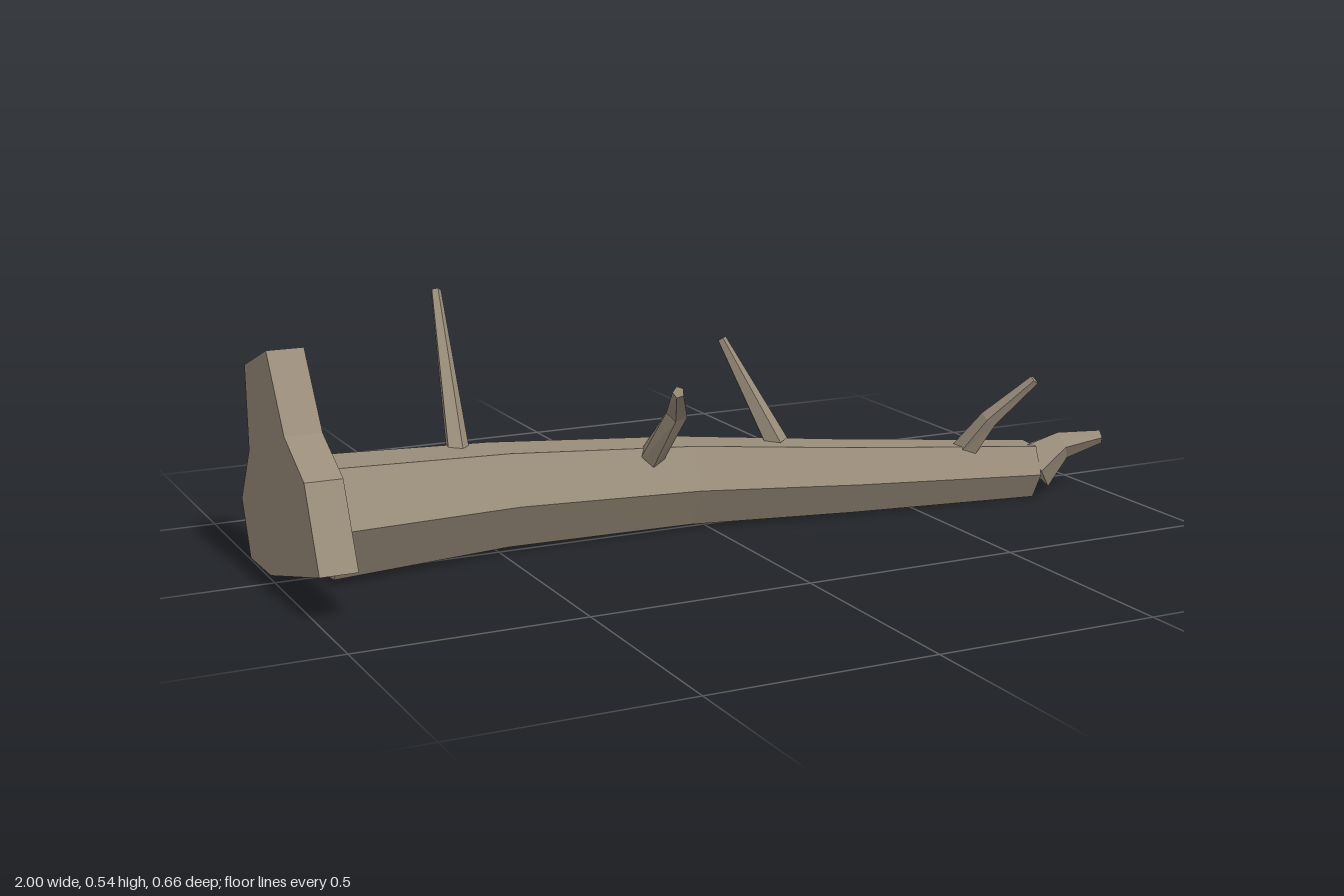
import * as THREE from 'three';

const bark = new THREE.MeshStandardMaterial({ color: 0x998c7a, flatShading: true });

// Closed tapering limb: one polygon ring per [x, y, z, radius] station
function limb(name, stations, sides) {
  const pts = stations.map(([x, y, z]) => new THREE.Vector3(x, y, z));
  const last = pts.length - 1;
  const pos = [], idx = [];
  stations.forEach(([, , , r], i) => {
    const t = new THREE.Vector3();
    if (i > 0) t.add(pts[i].clone().sub(pts[i - 1]).normalize());
    if (i < last) t.add(pts[i + 1].clone().sub(pts[i]).normalize());
    t.normalize();
    const side = new THREE.Vector3().crossVectors(t, new THREE.Vector3(0, 1, 0)).normalize();
    const up = new THREE.Vector3().crossVectors(side, t);
    for (let k = 0; k < sides; k++) {
      const a = (k / sides) * Math.PI * 2;
      const p = pts[i].clone().addScaledVector(side, r * Math.cos(a)).addScaledVector(up, r * Math.sin(a));
      pos.push(p.x, p.y, p.z);
    }
  });
  // Side walls
  for (let i = 0; i < last; i++) {
    for (let k = 0; k < sides; k++) {
      const a = i * sides + k, b = i * sides + (k + 1) % sides;
      idx.push(a, a + sides, b, b, a + sides, b + sides);
    }
  }
  // End caps
  for (let k = 1; k < sides - 1; k++) {
    idx.push(0, k, k + 1);
    idx.push(last * sides, last * sides + k + 1, last * sides + k);
  }
  const geo = new THREE.BufferGeometry();
  geo.setAttribute('position', new THREE.Float32BufferAttribute(pos, 3));
  geo.setIndex(idx);
  const flat = geo.toNonIndexed();
  flat.computeVertexNormals();
  const mesh = new THREE.Mesh(flat, bark);
  mesh.name = name;
  return mesh;
}

// Jagged root plate: outline in (z, y), extruded along x
function rootPlate() {
  const outline = [
    [0.33, 0.103], [0.25, 0.275], [0.12, 0.34], [0.01, 0.497], [-0.165, 0.435],
    [-0.16, 0.25], [-0.24, 0.125], [-0.187, 0.004], [-0.03, 0.008],
  ];
  const shape = new THREE.Shape(outline.map(([z, y]) => new THREE.Vector2(-z, y)));
  const geo = new THREE.ExtrudeGeometry(shape, { depth: 0.08, bevelEnabled: false });
  geo.rotateY(Math.PI / 2);
  geo.translate(-1, 0, 0);
  const mesh = new THREE.Mesh(geo, bark);
  mesh.name = 'rootPlate';
  return mesh;
}

export function createModel() {
  const group = new THREE.Group();
  group.name = 'fallenLog';

  group.add(rootPlate());

  // Hexagonal, gently curved trunk
  group.add(limb('trunk', [
    [-0.9, 0.131, 0.005, 0.137],
    [-0.48, 0.117, -0.05, 0.121],
    [-0.03, 0.1, -0.036, 0.105],
    [0.36, 0.082, 0.036, 0.089],
    [0.82, 0.062, 0.1, 0.071],
  ], 6));

  // Broken stubs and the snapped tip
  const branches = {
    tallBranch: [[-0.56, 0.21, -0.08, 0.027], [-0.515, 0.532, -0.322, 0.012]],
    bentBranch: [[-0.14, 0.165, 0.005, 0.03], [-0.118, 0.298, 0.108, 0.025], [-0.203, 0.387, 0.291, 0.013]],
    straightBranch: [[0.197, 0.165, -0.018, 0.029], [0.096, 0.407, -0.1, 0.011]],
    smallBranch: [[0.64, 0.118, 0.09, 0.031], [0.677, 0.208, 0.142, 0.022], [0.755, 0.306, 0.208, 0.012]],
    brokenTip: [[0.83, 0.07, 0.105, 0.064], [0.898, 0.118, 0.123, 0.036], [0.99, 0.134, 0.153, 0.017]],
  };
  for (const [name, stations] of Object.entries(branches)) {
    group.add(limb(name, stations, 5));
  }
  return group;
}
